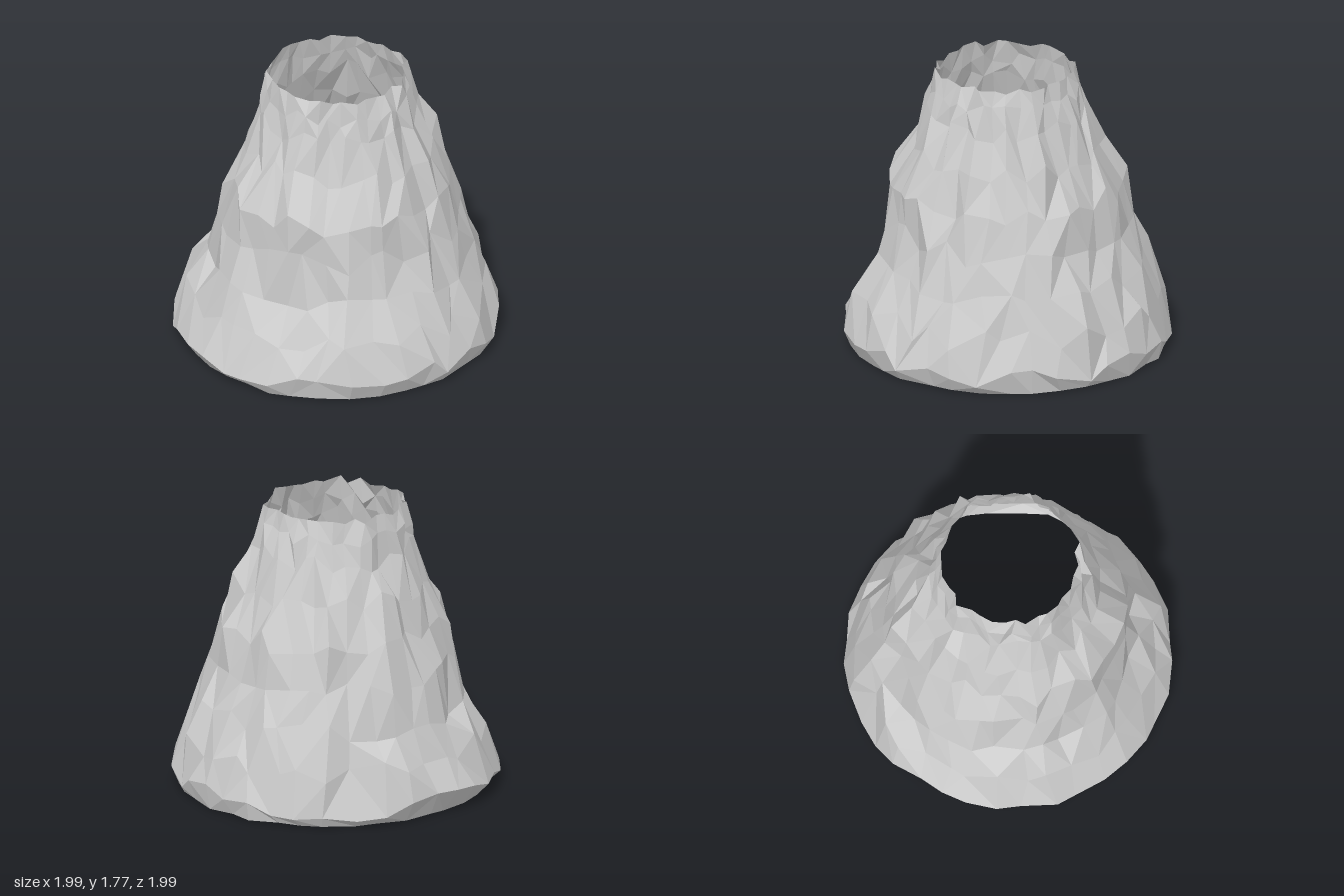
import * as THREE from 'three';

// Rings from the foot to the rim: height, then radius toward +x, +z, -x, -z, then roughness and height scatter
const RINGS = [
  [0.01, 0.95, 0.96, 0.92, 0.97, 0.03, 0.015],
  [0.11, 0.99, 1.0, 1.0, 0.99, 0.03, 0.13],
  [0.33, 0.96, 0.93, 0.93, 0.96, 0.11, 0.13],
  [0.55, 0.84, 0.80, 0.82, 0.89, 0.11, 0.13],
  [0.80, 0.77, 0.73, 0.76, 0.77, 0.10, 0.13],
  [1.05, 0.71, 0.74, 0.65, 0.75, 0.10, 0.13],
  [1.28, 0.62, 0.57, 0.58, 0.61, 0.08, 0.13],
  [1.50, 0.51, 0.51, 0.48, 0.51, 0.06, 0.12],
  [1.64, 0.47, 0.47, 0.46, 0.46, 0.06, 0.08],
  [1.755, 0.44, 0.44, 0.43, 0.43, 0.06, 0.04],
];
const SEGMENTS = 36;

function seeded(seed) {
  return () => {
    seed = (seed * 16807) % 2147483647;
    return seed / 2147483647;
  };
}

// Rocky, open-ended cone: rings pushed in and out into gullies that run down the slope
function coneGeometry() {
  const rand = seeded(4127);
  const gully = Array.from({ length: SEGMENTS }, () => rand());
  const positions = [];
  const index = [];

  RINGS.forEach(([height, px, pz, nx, nz, rough, lift], ring) => {
    const dirs = [px, pz, nx, nz];
    for (let i = 0; i < SEGMENTS; i++) {
      const quarter = (i / SEGMENTS) * 4;
      const q = Math.floor(quarter);
      const base = THREE.MathUtils.lerp(dirs[q], dirs[(q + 1) % 4], quarter - q);
      const cardinal = ring < 2 && quarter === q;
      const dent = cardinal ? 0 : rough * (0.6 * gully[i] + 0.6 * rand() - 0.28);
      const twist = cardinal ? 0 : (rand() - 0.5) * 0.09;
      const a = (i / SEGMENTS) * Math.PI * 2 + twist;
      const r = Math.min(base - dent, 1);
      positions.push(r * Math.cos(a), height + (rand() - 0.5) * lift, r * Math.sin(a));
    }
  });

  // Join rings, alternating the diagonals irregularly for a broken rock surface
  for (let ring = 0; ring < RINGS.length - 1; ring++) {
    for (let i = 0; i < SEGMENTS; i++) {
      const j = (i + 1) % SEGMENTS;
      const a = ring * SEGMENTS + i, b = ring * SEGMENTS + j;
      const c = a + SEGMENTS, d = b + SEGMENTS;
      if (rand() < 0.5) index.push(a, c, b, b, c, d);
      else index.push(a, c, d, a, d, b);
    }
  }

  const indexed = new THREE.BufferGeometry();
  indexed.setAttribute('position', new THREE.Float32BufferAttribute(positions, 3));
  indexed.setIndex(index);
  const geometry = indexed.toNonIndexed();
  geometry.computeVertexNormals();
  return geometry;
}

export function createModel() {
  const model = new THREE.Group();
  model.name = 'volcano';

  // Thin shell, open at the crater and underneath
  const cone = new THREE.Mesh(
    coneGeometry(),
    new THREE.MeshStandardMaterial({ color: 0xcccccc, flatShading: true, side: THREE.DoubleSide })
  );
  cone.name = 'rockyCone';
  model.add(cone);
  return model;
}
